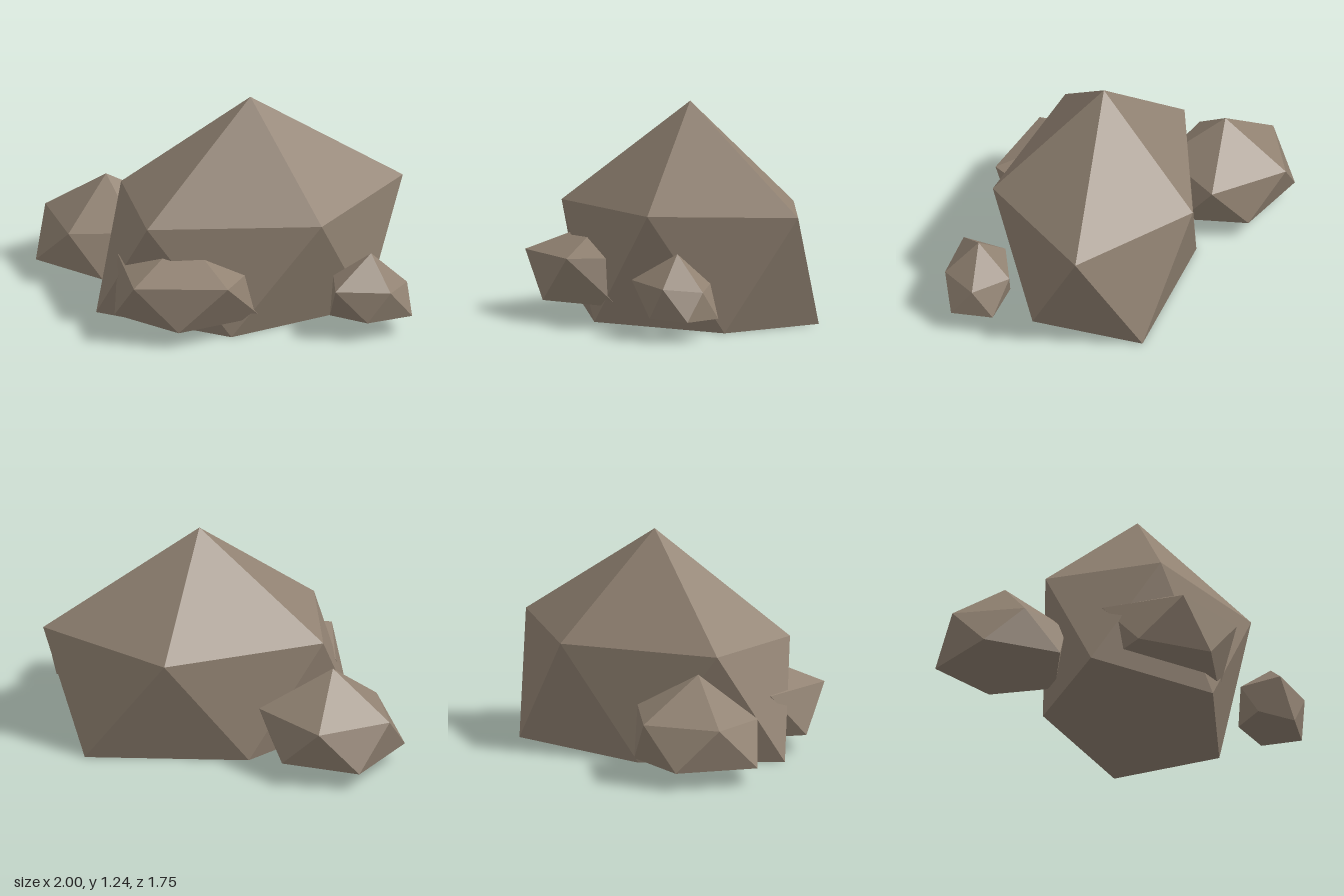
import * as THREE from 'three';

const stone = new THREE.MeshStandardMaterial({ color: 0x918272, flatShading: true });
stone.name = 'stone';

// Faceted boulder: a peak, a shoulder ring, a foot ring turned half a step, and a flat base.
// Rings run from +x towards +z; foot[i] lies between shoulder[i] and shoulder[i + 1].
function boulder(name, peak, shoulder, footY, footXZ) {
  const foot = footXZ.map(([x, z]) => [x, footY, z]);
  const n = shoulder.length;
  const tris = [];
  for (let i = 0; i < n; i++) {
    const j = (i + 1) % n;
    tris.push(peak, shoulder[j], shoulder[i]);
    tris.push(shoulder[i], shoulder[j], foot[i]);
    tris.push(shoulder[j], foot[j], foot[i]);
    if (i > 0 && i < n - 1) tris.push(foot[0], foot[i], foot[j]);
  }
  const geometry = new THREE.BufferGeometry();
  geometry.setAttribute('position', new THREE.Float32BufferAttribute(tris.flat(), 3));
  geometry.computeVertexNormals();
  const mesh = new THREE.Mesh(geometry, stone);
  mesh.name = name;
  return mesh;
}

export function createModel() {
  const group = new THREE.Group();
  group.name = 'rockCluster';

  group.add(
    boulder('mainRock', [0.11, 1.24, 0.07],
      [[1, 0.66, 0.07], [0.38, 0.66, 0.66], [-0.58, 0.64, 0.42], [-0.56, 0.64, -0.27], [0.37, 0.64, -0.49]],
      0, [[0.71, 0.37], [-0.13, 0.59], [-0.79, 0.07], [-0.12, -0.42], [0.8, -0.28]]),

    boulder('backRock', [-0.59, 0.59, -0.5],
      [[-0.17, 0.36, -0.5], [-0.49, 0.35, -0.17], [-0.86, 0.33, -0.3], [-0.89, 0.34, -0.72], [-0.47, 0.35, -0.87]],
      0.1, [[-0.25, -0.31], [-0.7, -0.14], [-1, -0.5], [-0.7, -0.88], [-0.28, -0.69]]),

    boulder('frontRock', [-0.335, 0.54, 0.32],
      [[0.12, 0.37, 0.37], [-0.19, 0.37, 0.75], [-0.7, 0.36, 0.59], [-0.67, 0.36, 0.1], [-0.2, 0.36, 0]],
      0.1, [[0.05, 0.57], [-0.46, 0.68], [-0.75, 0.34], [-0.45, 0], [0.04, 0.05]]),

    boulder('smallRock', [0.66, 0.48, 0.69],
      [[0.87, 0.28, 0.69], [0.73, 0.3, 0.87], [0.42, 0.32, 0.82], [0.47, 0.31, 0.57], [0.73, 0.3, 0.5]],
      0.12, [[0.87, 0.81], [0.6, 0.85], [0.42, 0.69], [0.59, 0.52], [0.87, 0.57]]),
  );
  return group;
}
